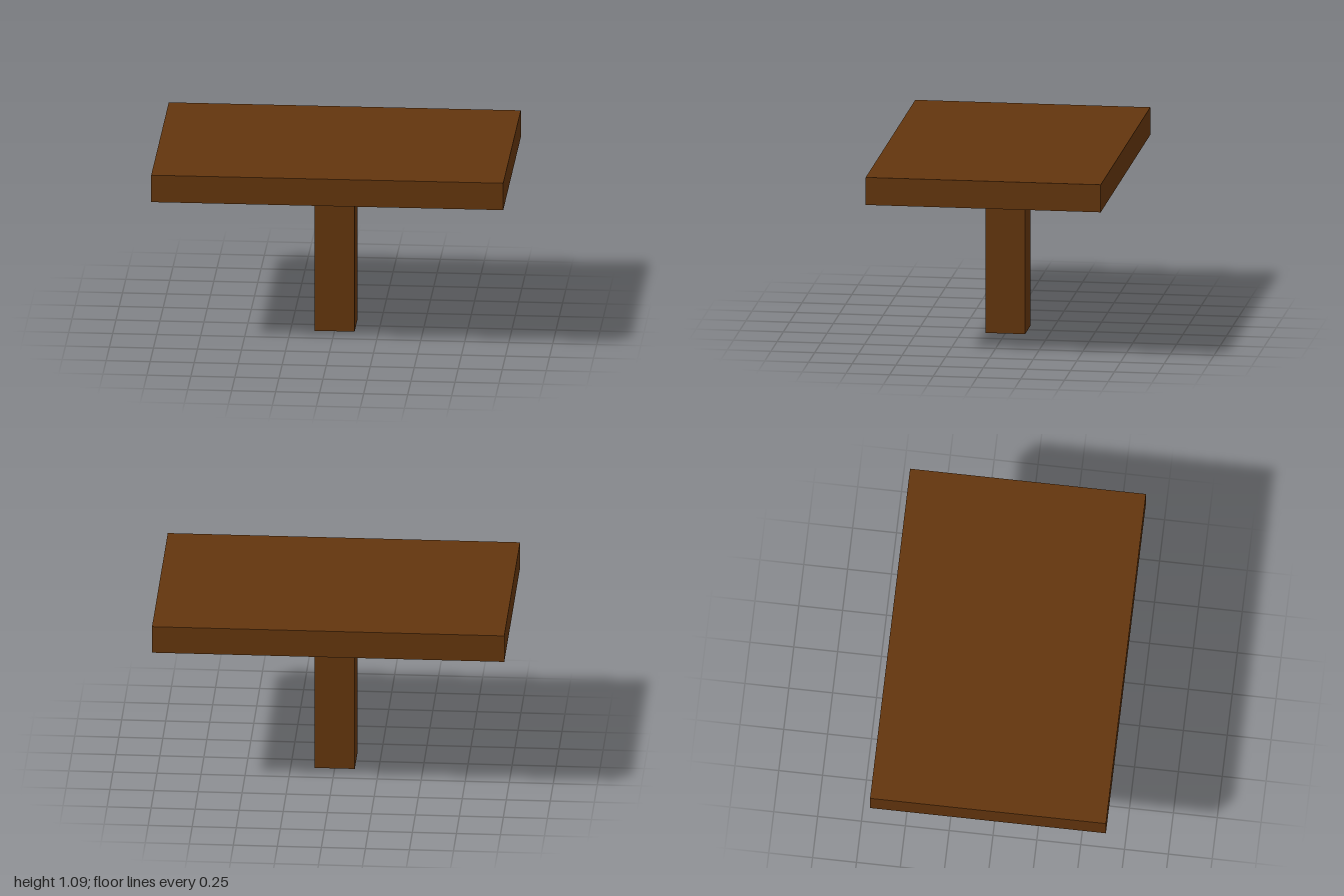
import * as THREE from 'three';

export function createModel() {
  const model = new THREE.Group();
  model.name = 'pedestalTable';

  const wood = new THREE.MeshStandardMaterial({ color: 0x63350d });
  wood.name = 'brown wood';

  // Adds a box standing on the given height
  const addBox = (name, width, height, depth, bottom) => {
    const mesh = new THREE.Mesh(new THREE.BoxGeometry(width, height, depth), wood);
    mesh.name = name;
    mesh.position.y = bottom + height / 2;
    model.add(mesh);
  };

  const legHeight = 0.925;
  addBox('leg', 0.228, legHeight, 0.228, 0);
  addBox('tabletop', 2, 0.16, 1.345, legHeight);

  return model;
}
